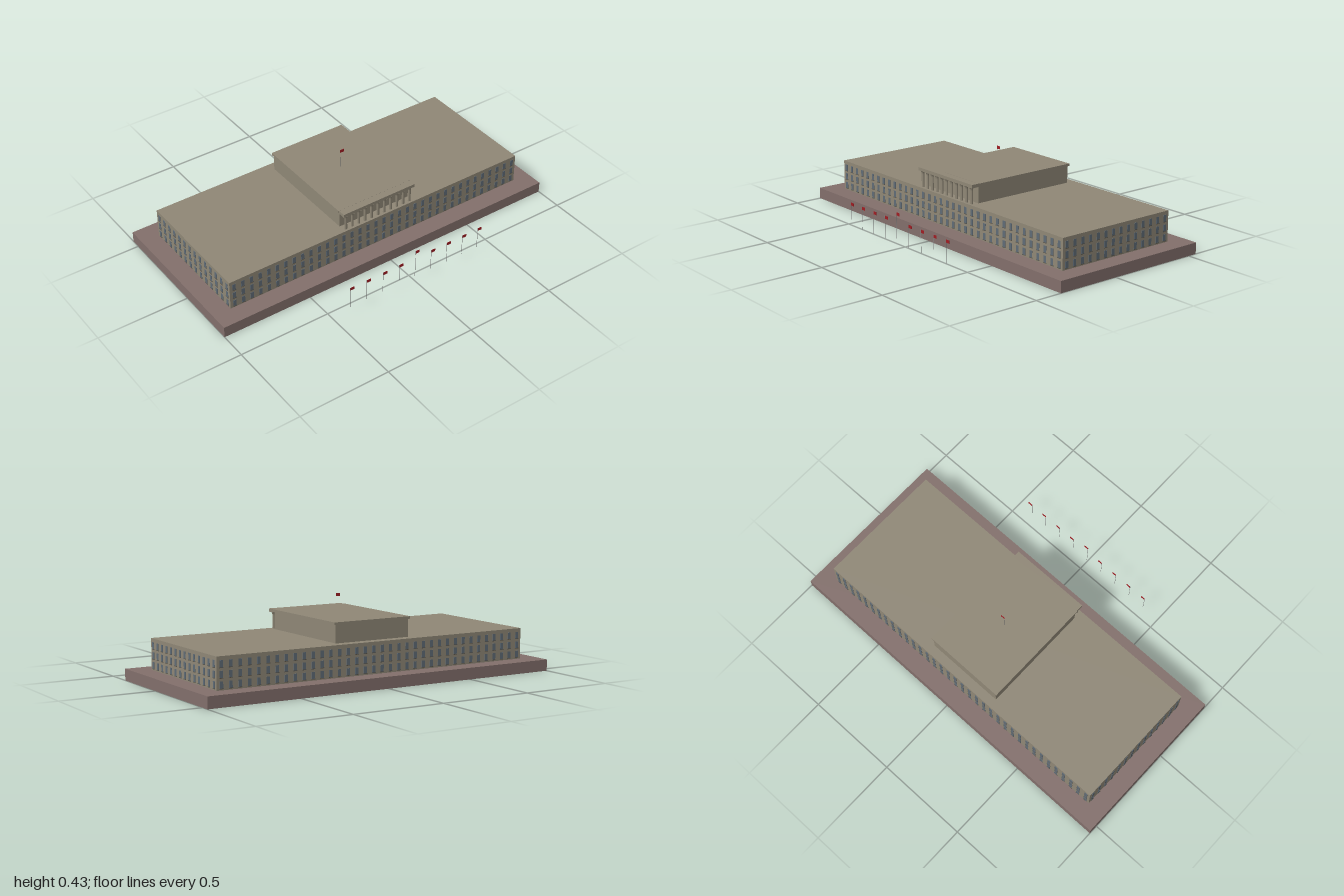
import * as THREE from 'three';
import { mergeGeometries } from 'three/addons/utils/BufferGeometryUtils.js';

const mat = (color) => new THREE.MeshStandardMaterial({ color });
const stone = mat(0x8f8776);
const plinthStone = mat(0x826f6b);
const glass = mat(0x5f6b76);
const sillStone = mat(0x5c574c);
const poleGrey = mat(0x8a8a8a);
const flagRed = mat(0xa01c22);

// Box given by its extents on each axis
function boxGeo(x0, x1, y0, y1, z0, z1) {
  return new THREE.BoxGeometry(x1 - x0, y1 - y0, z1 - z0)
    .translate((x0 + x1) / 2, (y0 + y1) / 2, (z0 + z1) / 2);
}

function add(parent, name, geometry, material) {
  const mesh = new THREE.Mesh(geometry, material);
  mesh.name = name;
  parent.add(mesh);
  return mesh;
}

// Three rows of windows along one wall, facing +z before being turned into place
function addWindowWall(parent, name, count, angle, x, z) {
  const panes = [], sills = [];
  for (let row = 0; row < 3; row++) {
    const y = 0.085 + row * 0.05;
    for (let i = 0; i < count; i++) {
      const u = (i - (count - 1) / 2) * 0.05;
      panes.push(boxGeo(u - 0.009, u + 0.009, y - 0.017, y + 0.018, -0.002, 0.002));
      sills.push(boxGeo(u - 0.011, u + 0.011, y - 0.019, y - 0.016, -0.002, 0.003));
    }
  }
  const wall = new THREE.Group();
  wall.name = name;
  add(wall, 'windowPanes', mergeGeometries(panes), glass);
  add(wall, 'windowSills', mergeGeometries(sills), sillStone);
  wall.rotation.y = angle;
  wall.position.set(x, 0, z);
  parent.add(wall);
}

// Pole with a small flag flying towards +x from its top
function addFlag(parent, name, x, z, bottom, top) {
  const flag = new THREE.Group();
  flag.name = name;
  const h = top - bottom;
  add(flag, 'pole', new THREE.CylinderGeometry(0.001, 0.001, h, 8).translate(0, bottom + h / 2, 0), poleGrey);
  add(flag, 'cloth', boxGeo(0, 0.025, top - 0.017, top - 0.001, -0.0005, 0.0005), flagRed);
  flag.position.set(x, 0, z);
  parent.add(flag);
}

export function createModel() {
  const model = new THREE.Group();
  model.name = 'governmentBuilding';

  // Plinth and main block
  add(model, 'plinth', boxGeo(-1, 1, 0, 0.06, -0.55, 0.35), plinthStone);
  add(model, 'mainBlock', boxGeo(-0.9, 0.9, 0.06, 0.222, -0.45, 0.25), stone);

  // Windows on all four walls
  const windows = new THREE.Group();
  windows.name = 'windows';
  addWindowWall(windows, 'frontWindows', 36, 0, 0, 0.25);
  addWindowWall(windows, 'backWindows', 36, Math.PI, 0, -0.45);
  addWindowWall(windows, 'leftWindows', 14, Math.PI / 2, 0.9, -0.1);
  addWindowWall(windows, 'rightWindows', 14, -Math.PI / 2, -0.9, -0.1);
  model.add(windows);

  // Upper hall and its overhanging roof
  add(model, 'upperHall', boxGeo(-0.215, 0.215, 0.222, 0.316, -0.4, 0.2), stone);
  add(model, 'hallRoof', boxGeo(-0.224, 0.224, 0.314, 0.327, -0.405, 0.205), stone);
  add(model, 'porticoBeam', boxGeo(-0.221, 0.221, 0.309, 0.3265, 0.2, 0.246), stone);

  // Portico columns, flaring into arches below the beam
  const profile = [new THREE.Vector2(0.008, 0.222)];
  for (let i = 0; i <= 8; i++) {
    const a = (i / 8) * Math.PI / 2;
    profile.push(new THREE.Vector2(0.0205 - 0.0125 * Math.cos(a), 0.29 + 0.02 * Math.sin(a)));
  }
  const columnGeo = new THREE.LatheGeometry(profile, 16).scale(1, 1, 0.75);
  const columnMat = stone.clone();
  columnMat.side = THREE.DoubleSide;
  const columns = new THREE.Group();
  columns.name = 'porticoColumns';
  for (let i = 0; i < 11; i++) {
    add(columns, 'column', columnGeo, columnMat).position.set((i - 5) * 0.04, 0, 0.2325);
  }
  model.add(columns);

  // Row of flags in front, the middle one taller, and one on the roof
  const flags = new THREE.Group();
  flags.name = 'flags';
  for (let i = -4; i <= 4; i++) {
    addFlag(flags, 'frontFlag', i * 0.1, 0.55, 0.03, i === 0 ? 0.193 : 0.152);
  }
  addFlag(flags, 'roofFlag', 0, -0.1, 0.32, 0.43);
  model.add(flags);

  return model;
}
